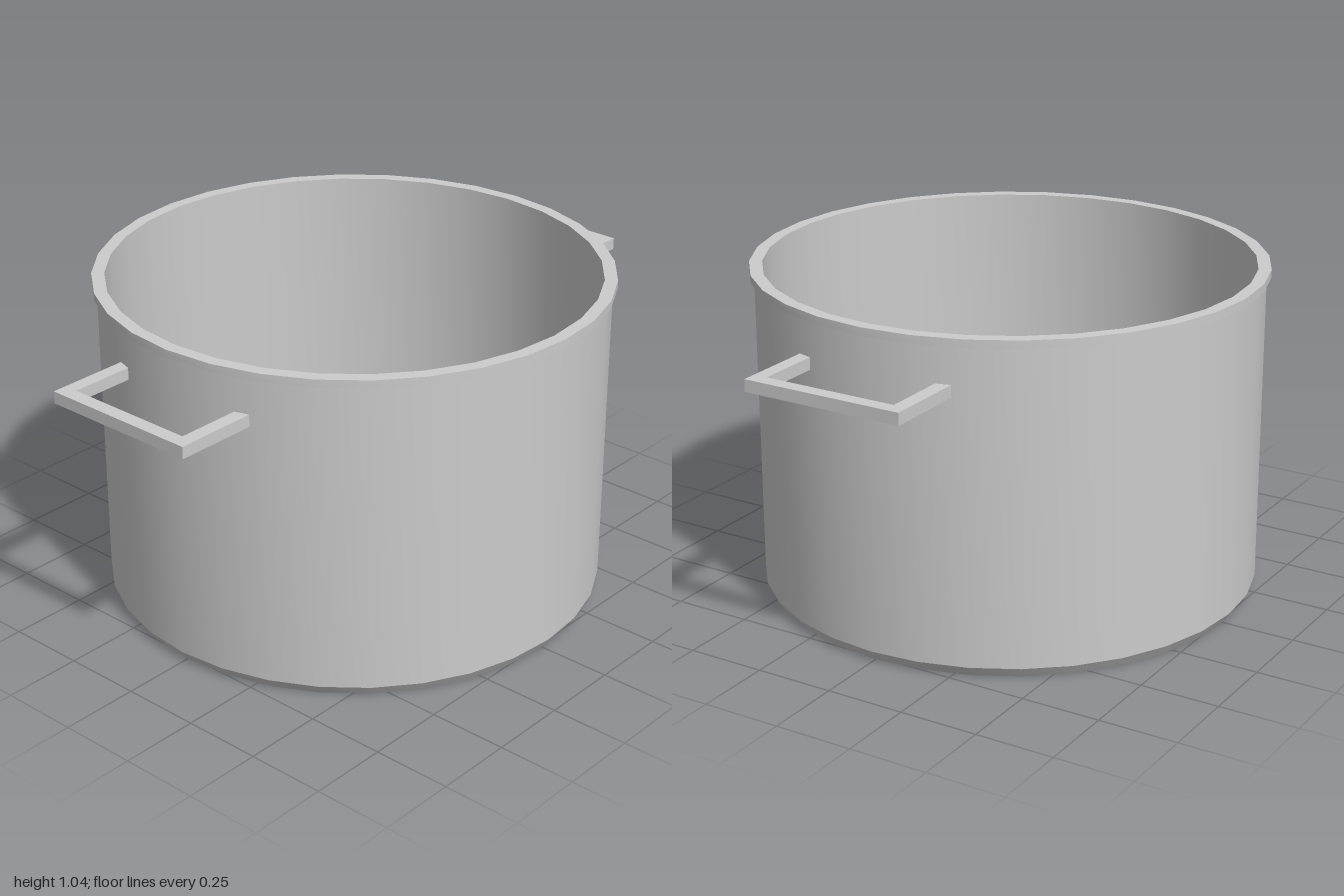
import * as THREE from 'three';
import { toCreasedNormals } from 'three/addons/utils/BufferGeometryUtils.js';

const material = new THREE.MeshStandardMaterial({ color: 0xcccccc });

// Closed pot profile: underside, chamfer, outer wall, rim lip, inner wall, floor
function createBody() {
  const profile = [
    [0, 0], [0.763, 0], [0.786, 0.035], [0.786, 1.02], [0.8, 1.02],
    [0.8, 1.045], [0.76, 1.045], [0.76, 0.035], [0, 0.035],
  ].map(([r, y]) => new THREE.Vector2(r, y));
  const geometry = toCreasedNormals(new THREE.LatheGeometry(profile, 32), 0.45);
  const body = new THREE.Mesh(geometry, material);
  body.name = 'potBody';
  return body;
}

// Flat U-shaped bar lying level, its ends set into the wall
function createHandleGeometry() {
  const inner = 0.735, outer = 1, half = 0.26, bar = 0.045, height = 0.038;
  const outline = [
    [inner, -half], [outer, -half], [outer, half], [inner, half],
    [inner, half - bar], [outer - bar, half - bar],
    [outer - bar, bar - half], [inner, bar - half],
  ].map(([x, z]) => new THREE.Vector2(x, z));
  return new THREE.ExtrudeGeometry(new THREE.Shape(outline), { depth: height, bevelEnabled: false })
    .rotateX(Math.PI / 2)
    .translate(0, 0.904, 0);
}

export function createModel() {
  const pot = new THREE.Group();
  pot.name = 'cookingPot';
  pot.add(createBody());

  // Matching handles on both sides
  const handleGeometry = createHandleGeometry();
  ['leftHandle', 'rightHandle'].forEach((name, i) => {
    const handle = new THREE.Mesh(handleGeometry, material);
    handle.name = name;
    handle.rotation.y = i * Math.PI;
    pot.add(handle);
  });
  return pot;
}
